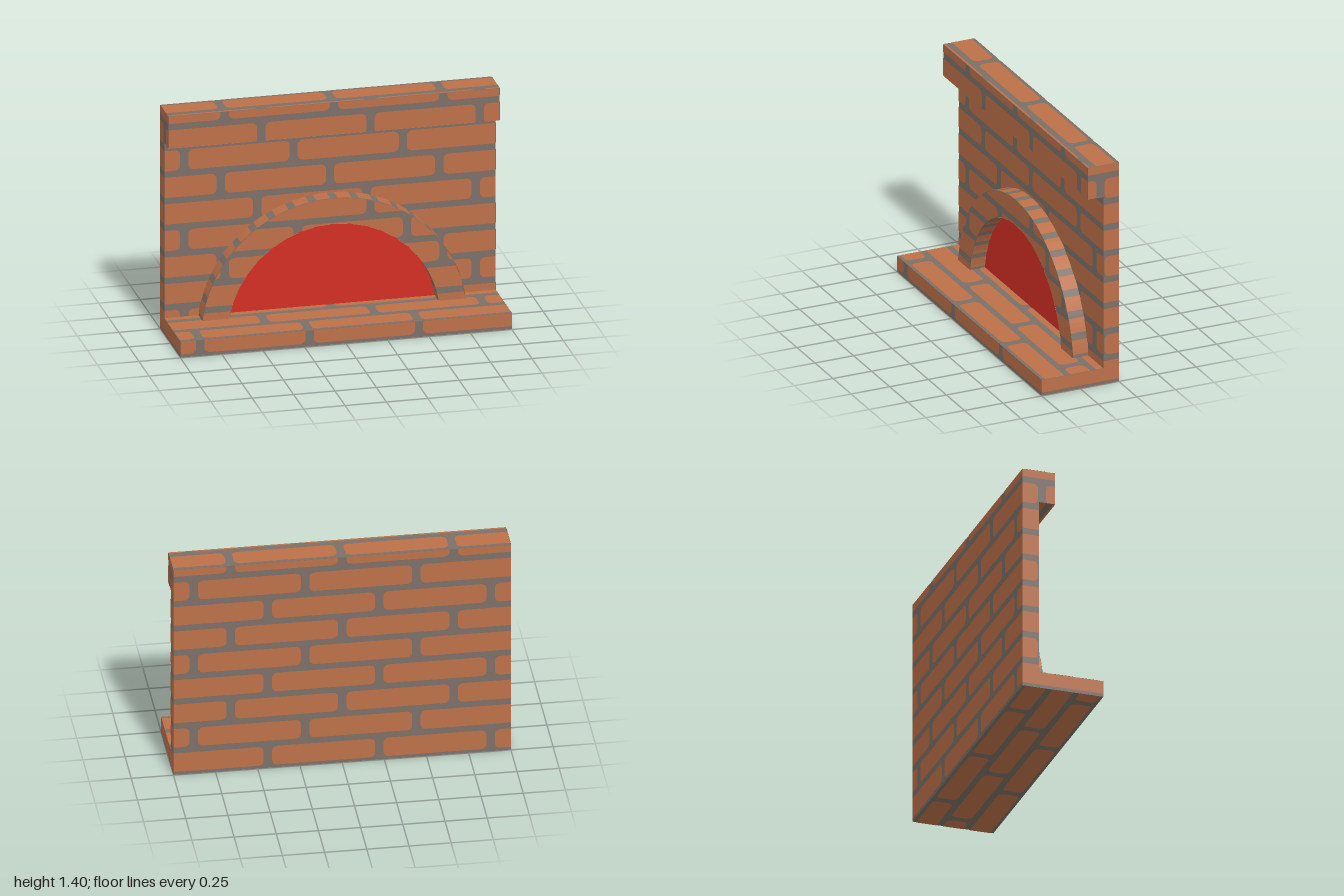
import * as THREE from 'three';

const mat = (name, color, side = THREE.FrontSide) => {
  const m = new THREE.MeshStandardMaterial({ color, side });
  m.name = name;
  return m;
};

// Outline of one brick with softened corners, centred on (cx, cy)
function brickOutline(cx, cy, w = 0.61, h = 0.127, r = 0.03) {
  const pts = [];
  for (let c = 0; c < 4; c++) {
    const sx = c === 0 || c === 3 ? 1 : -1, sy = c < 2 ? 1 : -1;
    for (let i = 0; i < 4; i++) {
      const a = (c + i / 3) * Math.PI / 2;
      pts.push([cx + sx * (w / 2 - r) + r * Math.cos(a), cy + sy * (h / 2 - r) + r * Math.sin(a)]);
    }
  }
  return pts;
}

// Clip a convex polygon to a convex counter-clockwise region
function clip(poly, region) {
  let out = poly;
  region.forEach((a, i) => {
    const b = region[(i + 1) % region.length];
    const side = p => (b[0] - a[0]) * (p[1] - a[1]) - (b[1] - a[1]) * (p[0] - a[0]);
    const next = [];
    out.forEach((p, j) => {
      const q = out[(j + 1) % out.length], dp = side(p), dq = side(q);
      if (dp >= 0) next.push(p);
      if (dp * dq < 0) {
        const t = dp / (dp - dq);
        next.push([p[0] + t * (q[0] - p[0]), p[1] + t * (q[1] - p[1])]);
      }
    });
    out = next;
  });
  return out;
}

const rect = (u0, v0, u1, v1) => [[u0, v0], [u1, v0], [u1, v1], [u0, v1]];

function geometryFrom(positions) {
  const g = new THREE.BufferGeometry();
  g.setAttribute('position', new THREE.Float32BufferAttribute(positions, 3));
  g.computeVertexNormals();
  return g;
}

// Running-bond bricks inside flat regions; each course steps by a third of a brick
function brickGeometry(regions, toWorld, outward) {
  const pos = [], n = new THREE.Vector3(...outward);
  for (const region of regions) {
    for (let row = 0; row < 9; row++) {
      for (let i = -3; i < 3; i++) {
        const joint = 0.44 - 0.22 * (row % 3) + 0.66 * i;
        const poly = clip(brickOutline(joint + 0.33, 1 / 12 + row / 6), region);
        const p = poly.map(([u, v]) => new THREE.Vector3(...toWorld(u, v)).addScaledVector(n, 0.002));
        for (let k = 1; k + 1 < p.length; k++) {
          const e1 = p[k].clone().sub(p[0]), e2 = p[k + 1].clone().sub(p[0]);
          const tri = e1.cross(e2).dot(n) > 0 ? [p[0], p[k], p[k + 1]] : [p[0], p[k + 1], p[k]];
          tri.forEach(q => pos.push(q.x, q.y, q.z));
        }
      }
    }
  }
  return geometryFrom(pos);
}

// Brick bands wrapped around the curved faces of the arch
function archBands(radius, start) {
  const pos = [], count = 18, step = (Math.PI - 2 * start) / count;
  const at = (a, z) => [radius * Math.cos(a), radius * Math.sin(a), z];
  for (let i = 0; i < count; i++) {
    for (let k = 0; k < 3; k++) {
      const a = start + step * (i + 0.17 + 0.22 * k), b = a + step * 0.22;
      pos.push(...at(a, -0.15), ...at(b, -0.05), ...at(a, -0.05));
      pos.push(...at(a, -0.15), ...at(b, -0.15), ...at(b, -0.05));
    }
  }
  return geometryFrom(pos);
}

export function createModel() {
  const root = new THREE.Group();
  root.name = 'fireplace';
  const mortar = mat('mortarGrey', 0x7c7068);
  const brick = mat('brickOrange', 0xbd7048, THREE.DoubleSide);
  const red = mat('fireRed', 0xd42e24);

  const add = (name, geometry, material) => {
    const m = new THREE.Mesh(geometry, material);
    m.name = name;
    root.add(m);
    return m;
  };
  const box = (name, y0, y1, z0, z1) =>
    add(name, new THREE.BoxGeometry(2, y1 - y0, z1 - z0), mortar)
      .position.set(0, (y0 + y1) / 2, (z0 + z1) / 2);

  // Main masses
  box('wall', 0, 1.4, -0.25, -0.15);
  box('hearth', 0, 0.1, -0.15, 0.25);
  box('mantel', 1.2, 1.4, -0.15, -0.05);

  // Arch
  const outer = 0.8, inner = 0.64;
  const tOut = Math.asin(0.1 / outer), tIn = Math.asin(0.1 / inner);
  const archShape = new THREE.Shape();
  archShape.absarc(0, 0, outer, tOut, Math.PI - tOut, false);
  archShape.absarc(0, 0, inner, Math.PI - tIn, tIn, true);
  archShape.closePath();
  const archGeo = new THREE.ExtrudeGeometry(archShape, { depth: 0.1, bevelEnabled: false, curveSegments: 32 });
  add('arch', archGeo.translate(0, 0, -0.15), mortar);

  // Fire opening
  const fireShape = new THREE.Shape();
  fireShape.absarc(0, 0, inner, tIn, Math.PI - tIn, false);
  add('fireOpening', new THREE.ShapeGeometry(fireShape, 32).translate(0, 0, -0.145), red);

  // Brickwork on the front and back faces
  const facing = z => (u, v) => [u, v, z];
  add('wallFrontBricks', brickGeometry([rect(-1, 0.1, 1, 1.2)], facing(-0.15), [0, 0, 1]), brick);
  add('wallBackBricks', brickGeometry([rect(-1, 0, 1, 1.4)], facing(-0.25), [0, 0, -1]), brick);
  add('hearthFrontBricks', brickGeometry([rect(-1, 0, 1, 0.1)], facing(0.25), [0, 0, 1]), brick);
  add('mantelFrontBricks', brickGeometry([rect(-1, 1.2, 1, 1.4)], facing(-0.05), [0, 0, 1]), brick);

  // Brickwork on the level faces
  const level = y => (u, v) => [u, y, 0.25 - v];
  add('mantelTopBricks', brickGeometry([rect(-1, 0.3, 1, 0.5)], level(1.4), [0, 1, 0]), brick);
  add('mantelUndersideBricks', brickGeometry([rect(-1, 0.3, 1, 0.4)], level(1.2), [0, -1, 0]), brick);
  add('hearthTopBricks', brickGeometry([rect(-1, 0, 1, 0.4)], level(0.1), [0, 1, 0]), brick);
  add('baseBricks', brickGeometry([rect(-1, 0, 1, 0.5)], level(0), [0, -1, 0]), brick);

  // Brickwork on both ends
  const ends = [rect(0.24, 0, 0.34, 1.4), rect(-0.16, 0, 0.24, 0.1), rect(0.14, 1.2, 0.24, 1.4)];
  for (const s of [1, -1]) {
    add(s > 0 ? 'leftEndBricks' : 'rightEndBricks',
      brickGeometry(ends, (u, v) => [s, v, 0.09 - u], [s, 0, 0]), brick);
  }

  // Brickwork on the arch face, fitted sector by sector
  const sectors = [], count = 32;
  const rim = (r, t, i) => {
    const a = t + (Math.PI - 2 * t) * i / count;
    return [r * Math.cos(a), r * Math.sin(a)];
  };
  for (let i = 0; i < count; i++) {
    sectors.push([rim(inner, tIn, i), rim(outer, tOut, i), rim(outer, tOut, i + 1), rim(inner, tIn, i + 1)]);
  }
  add('archFrontBricks', brickGeometry(sectors, facing(-0.05), [0, 0, 1]), brick);
  add('archOuterBricks', archBands(outer + 0.002, tOut), brick);
  add('archInnerBricks', archBands(inner - 0.003, tIn), brick);

  return root;
}
